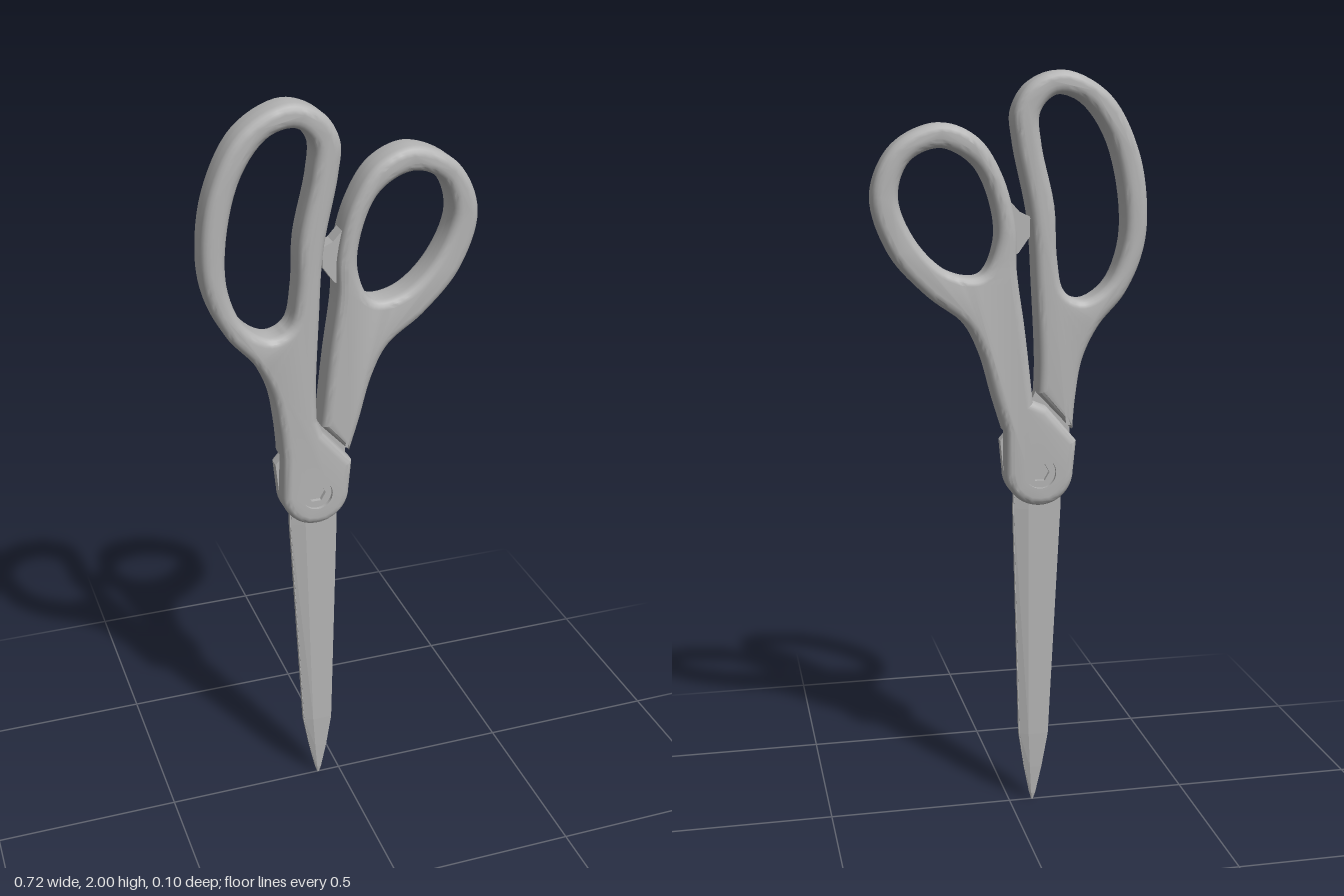
import * as THREE from 'three';
import { toCreasedNormals } from 'three/addons/utils/BufferGeometryUtils.js';

const HALF = 0.049;            // half thickness of the handles
const PX = -0.075, PY = 0.957; // pivot centre
const PR = 0.092;              // pivot boss radius
const SCREW = 0.042;           // screw hole radius

const steel = new THREE.MeshStandardMaterial({ color: 0xb4b4b4 });
steel.name = 'plain grey';

function mesh(geometry, name) {
  const m = new THREE.Mesh(geometry, steel);
  m.name = name;
  return m;
}

// Smooth curve through [x, y] points
function smooth(points, closed, n) {
  const curve = new THREE.CatmullRomCurve3(points.map(([x, y]) => new THREE.Vector3(x, y, 0)), closed);
  const out = curve.getPoints(n).map(p => new THREE.Vector2(p.x, p.y));
  if (closed) out.pop();
  return out;
}

// Regular polygon
function ring(cx, cy, r, n) {
  return Array.from({ length: n }, (_, i) => {
    const a = i / n * Math.PI * 2;
    return new THREE.Vector2(cx + r * Math.cos(a), cy + r * Math.sin(a));
  });
}

// Outline and holes must wind opposite ways for the bevels to face out
function wind(points, clockwise) {
  return THREE.ShapeUtils.isClockWise(points) === clockwise ? points : [...points].reverse();
}

// Rounded extrusion, cut flat at z = 0 so that only one side remains
function halfSlab(outline, holes, side) {
  const shape = new THREE.Shape(wind(outline, false));
  holes.forEach(h => shape.holes.push(new THREE.Path(wind(h, true))));
  const bevel = 0.022;
  const g = new THREE.ExtrudeGeometry(shape, {
    depth: 2 * (HALF - bevel), bevelThickness: bevel, bevelSize: bevel,
    bevelOffset: -bevel, bevelSegments: 4,
  });
  g.translate(0, 0, -(HALF - bevel));
  const p = g.attributes.position;
  for (let i = 0; i < p.count; i++) {
    const z = p.getZ(i);
    p.setZ(i, side > 0 ? Math.max(z, 0) : Math.min(z, 0));
    // straight wall for the screw hole
    const dx = p.getX(i) - PX, dy = p.getY(i) - PY, d = Math.hypot(dx, dy);
    if (d < 0.05) p.setXY(i, PX + dx / d * SCREW, PY + dy / d * SCREW);
  }
  return toCreasedNormals(g, 0.45);
}

// Shoulder and boss around the pivot; s mirrors it
function pivotOutline(s) {
  const pts = [[0.02, 0.175], [0.1, 0.082], [0.096, 0.04]];
  for (let i = 0; i <= 20; i++) {
    const a = -Math.PI * i / 20;
    pts.push([PR * Math.cos(a), PR * Math.sin(a)]);
  }
  return pts.map(([x, y]) => new THREE.Vector2(PX + s * x, PY + y));
}

// One half carries the pivot boss, the other half ends above it
function makeHandle(name, edge, loop, side) {
  const group = new THREE.Group();
  group.name = name;
  const upper = smooth(edge, false, 110);
  const finger = smooth(loop, true, 64);
  const screwHole = ring(PX, PY, 0.022, 32);
  group.add(mesh(halfSlab([...upper, ...pivotOutline(side)], [finger, screwHole], side), 'pivotHalf'));
  group.add(mesh(halfSlab(upper, [finger], -side), 'gripHalf'));
  return group;
}

// Blade with a thick spine, a flat inner face and a ground edge
function makeBlade(name) {
  // y, spine x, edge x, thickness
  const rows = [
    [1.02, 0.06, -0.05, 0.013], [0.85, 0.064, -0.062, 0.013], [0.2, 0.04, -0.038, 0.012],
    [0.1, 0.024, -0.023, 0.009], [0.02, 0.008, -0.008, 0.005], [0, 0.002, -0.002, 0.002],
  ];
  const pos = [], idx = [];
  rows.forEach(([y, xs, xe, t]) => {
    const xm = xe + (xs - xe) * 0.3;
    pos.push(xs, y, 0, xs, y, t, xm, y, t, xe, y, 0.001, xe, y, 0);
  });
  const n = 5;
  for (let r = 0; r < rows.length - 1; r++) {
    for (let k = 0; k < n; k++) {
      const at = r * n + k, bt = r * n + (k + 1) % n;
      const al = at + n, bl = bt + n;
      idx.push(al, at, bt, al, bt, bl);
    }
  }
  const last = (rows.length - 1) * n;
  for (let k = 1; k < n - 1; k++) {
    idx.push(0, k + 1, k, last, last + k, last + k + 1);
  }
  const g = new THREE.BufferGeometry();
  g.setAttribute('position', new THREE.Float32BufferAttribute(pos, 3));
  g.setIndex(idx);
  const flat = g.toNonIndexed();
  flat.computeVertexNormals();
  const m = mesh(flat, name);
  m.position.y = -PY;
  return m;
}

// Round screw head with a hexagonal socket on both sides
function makeScrew() {
  const group = new THREE.Group();
  group.name = 'pivotScrew';
  const head = new THREE.Shape(ring(0, 0, SCREW, 32));
  head.holes.push(new THREE.Path(wind(ring(0, 0, 0.026, 6), true)));
  const headGeometry = new THREE.ExtrudeGeometry(head, { depth: 0.078, bevelEnabled: false });
  headGeometry.translate(0, 0, -0.039);
  const core = new THREE.CylinderGeometry(0.03, 0.03, 0.054, 24).rotateX(Math.PI / 2);
  group.add(mesh(headGeometry, 'screwHead'), mesh(core, 'screwCore'));
  group.position.set(PX, PY, 0);
  return group;
}

export function createModel() {
  const model = new THREE.Group();
  model.name = 'scissors';

  // Long handle for the fingers, boss at the front
  model.add(makeHandle('fingerHandle', [
    [-0.164, 1.07], [-0.172, 1.16], [-0.19, 1.26], [-0.232, 1.345], [-0.3, 1.425], [-0.345, 1.52],
    [-0.361, 1.62], [-0.338, 1.79], [-0.257, 1.94], [-0.135, 2.0], [-0.047, 1.968], [-0.006, 1.9],
    [-0.011, 1.82], [-0.05, 1.63], [-0.063, 1.445], [-0.072, 1.25], [-0.07, 1.17],
  ], [
    [-0.116, 1.938], [-0.074, 1.895], [-0.077, 1.817], [-0.112, 1.66], [-0.12, 1.525],
    [-0.14, 1.438], [-0.19, 1.415], [-0.257, 1.457], [-0.298, 1.563], [-0.292, 1.71],
    [-0.25, 1.845], [-0.183, 1.925],
  ], 1));

  // Round handle for the thumb, boss at the back
  model.add(makeHandle('thumbHandle', [
    [0.018, 1.068], [0.045, 1.155], [0.08, 1.277], [0.122, 1.356], [0.22, 1.432], [0.315, 1.54],
    [0.36, 1.69], [0.304, 1.815], [0.183, 1.87], [0.087, 1.833], [0.024, 1.738],
    [-0.011, 1.605], [-0.013, 1.5], [-0.035, 1.34], [-0.057, 1.148],
  ], [
    [0.183, 1.807], [0.262, 1.775], [0.293, 1.685], [0.242, 1.565], [0.158, 1.492],
    [0.08, 1.485], [0.041, 1.563], [0.047, 1.658], [0.096, 1.764],
  ], -1));

  // Stop that keeps the handles apart
  const stop = new THREE.Shape([
    [0.01, 1.68], [-0.022, 1.645], [-0.05, 1.632], [-0.05, 1.582], [-0.02, 1.54], [0.01, 1.52],
  ].map(([x, y]) => new THREE.Vector2(x, y)));
  const stopGeometry = new THREE.ExtrudeGeometry(stop, { depth: 0.044, bevelEnabled: false });
  stopGeometry.translate(0, 0, -0.022);
  model.add(mesh(stopGeometry, 'handleStop'));

  // Two blades leaning slightly, the back one turned half round
  const blades = new THREE.Group();
  blades.name = 'blades';
  const back = makeBlade('backBlade');
  back.rotation.y = Math.PI;
  blades.add(makeBlade('frontBlade'), back);
  blades.position.set(PX, PY, 0);
  blades.rotation.z = 0.011;
  model.add(blades, makeScrew());

  return model;
}
